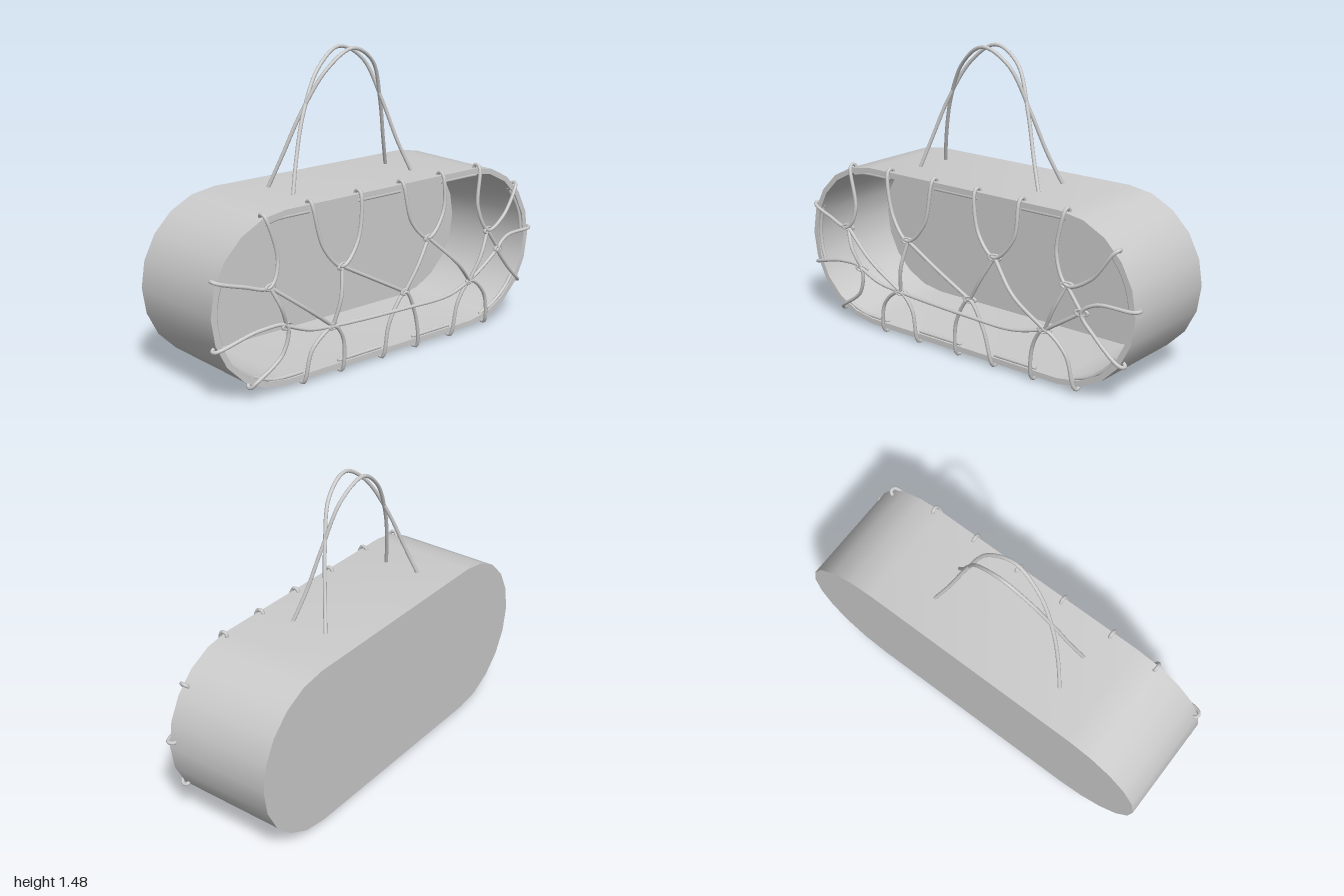
import * as THREE from 'three';
import { toCreasedNormals } from 'three/addons/utils/BufferGeometryUtils.js';

const CX = -0.006, CY = 0.44, HALF = 0.583, R = 0.41;
const BACK = -0.32, FRONT = 0.23, WALL = 0.027;
const material = new THREE.MeshStandardMaterial({ color: 0xcccccc });

// Stadium outline: straight top and bottom with round ends
function outline(r, PathType) {
  const p = new PathType();
  p.moveTo(CX - HALF, CY - r);
  p.lineTo(CX + HALF, CY - r);
  p.absarc(CX + HALF, CY, r, -Math.PI / 2, Math.PI / 2, false);
  p.lineTo(CX - HALF, CY + r);
  p.absarc(CX - HALF, CY, r, Math.PI / 2, Math.PI * 1.5, false);
  return p;
}

function slab(name, shape, z, depth) {
  const geo = new THREE.ExtrudeGeometry(shape, { depth, bevelEnabled: false, curveSegments: 5 });
  const mesh = new THREE.Mesh(toCreasedNormals(geo, 0.6), material);
  mesh.position.z = z;
  mesh.name = name;
  return mesh;
}

function cord(name, points, segments = 48, radius = 0.009) {
  const curve = new THREE.CatmullRomCurve3(points, false, 'centripetal');
  const mesh = new THREE.Mesh(new THREE.TubeGeometry(curve, segments, radius, 8), material);
  mesh.name = name;
  return mesh;
}

// Moves (x, y) radially onto the rim, offset outward by d, at depth z
function onRim([x, y], d, z) {
  const cx = THREE.MathUtils.clamp(x, CX - HALF, CX + HALF);
  const dir = new THREE.Vector2(x - cx, y - CY).normalize().multiplyScalar(R + d);
  return new THREE.Vector3(cx + dir.x, CY + dir.y, z);
}

// Cord end wrapped over the rim, from inside the wall to the front
const hook = (p) => [
  onRim(p, -0.035, 0.212), onRim(p, -0.01, 0.2), onRim(p, 0.012, 0.206),
  onRim(p, 0.014, 0.226), onRim(p, -0.008, 0.242),
];

// Net loops in order around the rim: end, shoulder, knot, shoulder, end
const LOOPS = [
  [[-0.98, 0.6], [-0.85, 0.56], [-0.71, 0.53], [-0.66, 0.63], [-0.71, 0.84]],
  [[-0.45, 0.86], [-0.4, 0.64], [-0.3, 0.54], [-0.2, 0.64], [-0.165, 0.86]],
  [[0.1, 0.86], [0.14, 0.66], [0.24, 0.57], [0.345, 0.68], [0.36, 0.85]],
  [[0.61, 0.85], [0.585, 0.66], [0.65, 0.53], [0.77, 0.58], [0.88, 0.72]],
  [[0.99, 0.475], [0.8, 0.47], [0.73, 0.42], [0.8, 0.32], [0.93, 0.2]],
  [[0.68, 0.03], [0.64, 0.2], [0.53, 0.29], [0.46, 0.2], [0.435, 0.02]],
  [[0.2, 0.02], [0.165, 0.2], [0.09, 0.33], [0, 0.2], [-0.02, 0.02]],
  [[-0.275, 0.02], [-0.29, 0.19], [-0.355, 0.265], [-0.47, 0.18], [-0.5, 0.02]],
  [[-0.79, 0.08], [-0.64, 0.2], [-0.62, 0.33], [-0.76, 0.34], [-0.98, 0.285]],
];

// Inner cords: knot index to knot index, depth at the middle
const LINKS = [
  [0, 8, 0.285], [0, 7, 0.29], [7, 1, 0.29], [1, 6, 0.27], [6, 2, 0.275],
  [2, 5, 0.31], [5, 3, 0.28], [3, 4, 0.265], [4, 5, 0.27],
];

export function createModel() {
  const model = new THREE.Group();
  model.name = 'nettedBasket';

  // Hollow body, open at the front
  const wall = outline(R, THREE.Shape);
  wall.holes.push(outline(R - WALL, THREE.Path));
  model.add(slab('bodyWall', wall, BACK, FRONT - BACK));
  model.add(slab('backPanel', outline(R - 0.002, THREE.Shape), BACK, WALL));

  // Net across the opening
  const net = new THREE.Group();
  net.name = 'cordNet';
  const knots = LOOPS.map((l) => new THREE.Vector3(l[2][0], l[2][1], 0.265));
  LOOPS.forEach(([a, s1, k, s2, b], i) => {
    net.add(cord('netLoop', [
      ...hook(a), new THREE.Vector3(...s1, 0.258), new THREE.Vector3(...k, 0.268),
      new THREE.Vector3(...s2, 0.258), ...hook(b).reverse(),
    ], 80));

    // Run along the inside of the rim to the next loop
    const next = LOOPS[(i + 1) % LOOPS.length][0];
    const run = [0, 0.25, 0.5, 0.75, 1].map((t) => onRim(
      [THREE.MathUtils.lerp(b[0], next[0], t), THREE.MathUtils.lerp(b[1], next[1], t)], -0.035, 0.215));
    net.add(cord('rimCord', run, 16));

    // Small loop where cords cross
    const ring = new THREE.Mesh(new THREE.TorusGeometry(0.024, 0.008, 6, 14), material);
    ring.position.copy(knots[i]);
    ring.scale.set(1.2, 0.6, 1);
    ring.rotation.y = 0.25;
    ring.name = 'knot';
    net.add(ring);
  });
  for (const [i, j, z] of LINKS) {
    const mid = knots[i].clone().lerp(knots[j], 0.5).setZ(z);
    net.add(cord('netLink', [knots[i], mid, knots[j]], 24));
  }
  // Long horizontal cord through the lower knots
  net.add(cord('longCord', [
    knots[8], new THREE.Vector3(-0.5, 0.285, 0.27), knots[7], new THREE.Vector3(0.09, 0.255, 0.285),
    new THREE.Vector3(0.36, 0.255, 0.285), knots[5],
  ]));
  model.add(net);

  // Two thin handles that lean across each other
  const arch = [
    [-0.41, 0.845], [-0.36, 1], [-0.285, 1.2], [-0.17, 1.39], [-0.03, 1.48],
    [0.11, 1.405], [0.2, 1.2], [0.265, 1], [0.325, 0.845],
  ];
  for (const [name, foot, top] of [['backLeaningHandle', 0.05, -0.075], ['frontLeaningHandle', -0.14, 0.02]]) {
    model.add(cord(name, arch.map(([x, y]) => new THREE.Vector3(
      x, y, THREE.MathUtils.lerp(foot, top, ((y - 0.845) / 0.635) ** 0.85))), 64));
  }
  return model;
}
